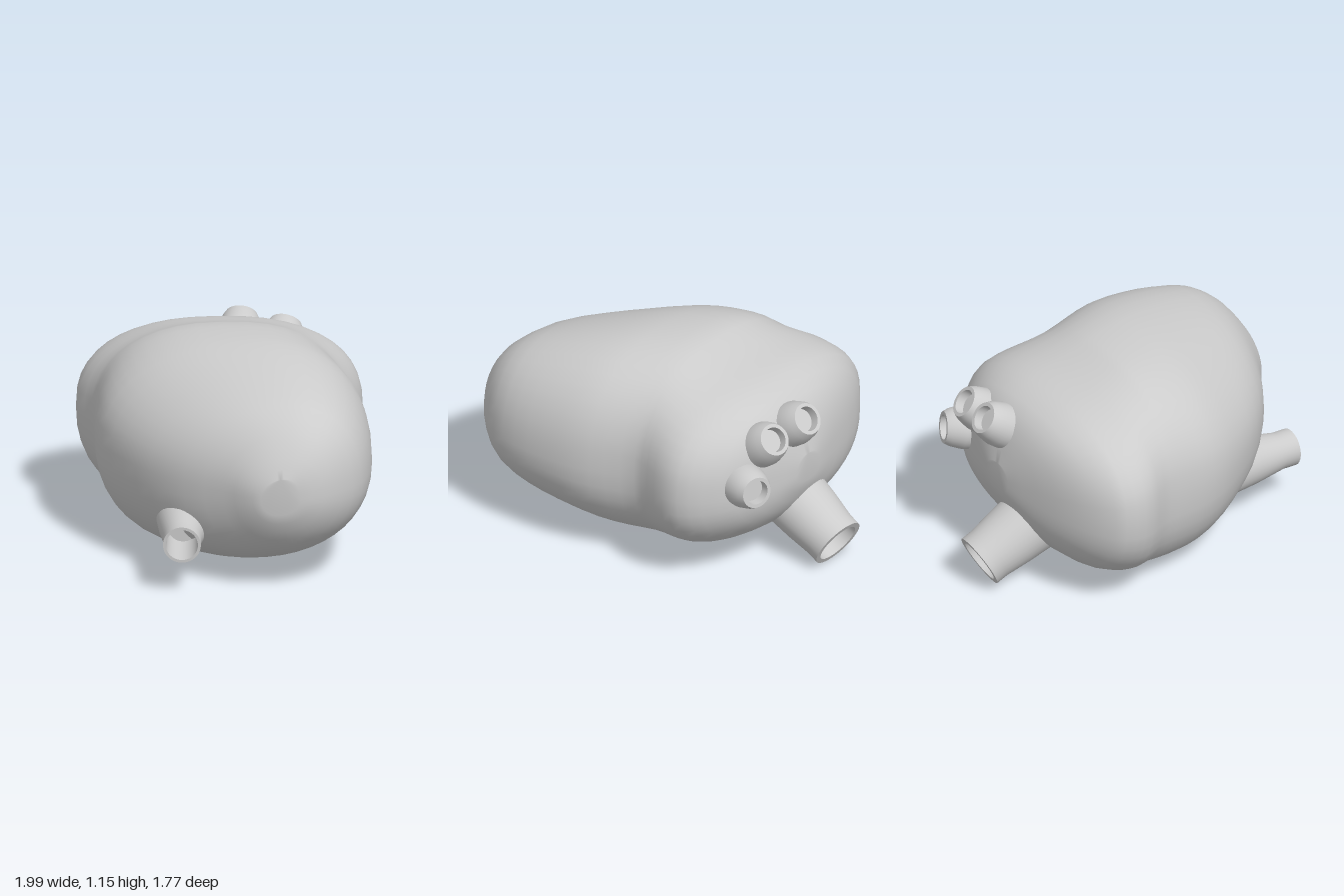
import * as THREE from 'three';
import { mergeVertices, toCreasedNormals } from 'three/addons/utils/BufferGeometryUtils.js';

const material = new THREE.MeshStandardMaterial({ color: 0xcccccc });

// Body axis U runs from the rear lobe to the blunt tip; V runs across it.
const U = new THREE.Vector3(0.774, 0, 0.633);
const V = new THREE.Vector3(-0.633, 0, 0.774);
const MID = 0.57; // height of the widest line

// Cross-sections along U: [u, vMin, vMax, bottom, top]
const SECTIONS = [
  [-0.83, -0.03, 0.17, 0.5, 0.66],
  [-0.79, -0.19, 0.38, 0.38, 0.81],
  [-0.72, -0.41, 0.63, 0.27, 0.94],
  [-0.6, -0.56, 0.83, 0.16, 1.015],
  [-0.49, -0.63, 0.875, 0.1, 1.045],
  [-0.38, -0.63, 0.865, 0.06, 1.07],
  [-0.26, -0.59, 0.8, 0.03, 1.11],
  [-0.16, -0.57, 0.78, 0.01, 1.145],
  [0.0, -0.62, 0.775, 0.0, 1.15],
  [0.16, -0.67, 0.74, 0.01, 1.14],
  [0.36, -0.685, 0.63, 0.04, 1.1],
  [0.55, -0.675, 0.49, 0.09, 1.05],
  [0.72, -0.63, 0.31, 0.16, 0.99],
  [0.85, -0.53, 0.1, 0.26, 0.89],
  [0.93, -0.43, -0.01, 0.37, 0.78],
  [0.975, -0.31, -0.1, 0.48, 0.68],
];

function bodyGeometry(segments = 44, steps = 2) {
  // Smooth the section values along the axis
  const edge = (k) => new THREE.CatmullRomCurve3(
    SECTIONS.map((s) => new THREE.Vector3(s[0], s[k], s[k + 1])), false, 'centripetal');
  const widths = edge(1), heights = edge(3);
  const rows = (SECTIONS.length - 1) * steps;
  const positions = [], index = [];

  for (let i = 0; i <= rows; i++) {
    const w = widths.getPoint(i / rows), h = heights.getPoint(i / rows);
    // The lobe is boxier; the top leans to one side toward the tip
    const front = THREE.MathUtils.smoothstep(w.x, -0.25, 0.5);
    const exponent = 0.82 + 0.1 * front;
    const power = (n) => Math.sign(n) * Math.abs(n) ** exponent;
    for (let j = 0; j < segments; j++) {
      const a = (j / segments) * Math.PI * 2;
      const c = power(Math.cos(a)), s = power(Math.sin(a));
      const v = (w.y + w.z) / 2 + s * (w.z - w.y) / 2;
      const y = MID + (c > 0
        ? c * (h.z - MID) * (1 - (0.03 + 0.14 * front) * s)
        : c * (MID - h.y) * (1 + 0.1 * s));
      const p = U.clone().multiplyScalar(w.x).addScaledVector(V, v);
      positions.push(p.x, Math.max(y, 0), p.z);
      if (i < rows) {
        const k = (j + 1) % segments, r = i * segments, n = r + segments;
        index.push(r + j, r + k, n + j, r + k, n + k, n + j);
      }
    }
  }
  // Close both ends
  const last = rows * segments;
  for (let j = 1; j < segments - 1; j++) {
    index.push(0, j + 1, j, last, last + j, last + j + 1);
  }
  const geometry = new THREE.BufferGeometry();
  geometry.setAttribute('position', new THREE.Float32BufferAttribute(positions, 3));
  geometry.setIndex(index);
  const merged = mergeVertices(geometry, 1e-4);
  merged.computeVertexNormals();
  return merged;
}

// Hollow tapered tube ending at `end`, pointing along `dir`
function tube(name, { end, dir, length, base, rim, bore, depth, bulge = 0 }) {
  const profile = [
    [base, -length],
    [(base + rim) / 2 + bulge, -length / 2],
    [rim + bulge, -length * 0.16],
    [rim, 0],
    [bore, 0],
    [bore * 0.95, -depth],
    [0, -depth],
  ].map(([x, y]) => new THREE.Vector2(x, y));
  const geometry = toCreasedNormals(new THREE.LatheGeometry(profile, 32), 0.7);
  const mesh = new THREE.Mesh(geometry, material);
  mesh.name = name;
  mesh.position.set(...end);
  mesh.quaternion.setFromUnitVectors(
    new THREE.Vector3(0, 1, 0), new THREE.Vector3(...dir).normalize());
  return mesh;
}

export function createModel() {
  const group = new THREE.Group();
  group.name = 'lobedBodyWithTubes';

  const body = new THREE.Mesh(bodyGeometry(), material);
  body.name = 'body';
  group.add(body);

  // Two large tubes
  group.add(
    tube('frontTube', {
      end: [0.485, 0.28, 0.805], dir: [0.76, -0.03, 0.65],
      length: 0.52, base: 0.16, rim: 0.1, bore: 0.085, depth: 0.25,
    }),
    tube('lowerRearTube', {
      end: [-0.84, 0.135, -0.525], dir: [-0.62, -0.46, -0.62],
      length: 0.42, base: 0.185, rim: 0.15, bore: 0.12, depth: 0.25,
    }),
  );

  // Three short tubes across the rear lobe
  const small = { length: 0.2, base: 0.12, rim: 0.085, bore: 0.066, depth: 0.05, bulge: 0.016 };
  [
    [[-0.68, 0.92, -0.55], [-0.56, 0.56, -0.57]],
    [[-0.5, 0.89, -0.705], [-0.44, 0.56, -0.6]],
    [[-0.4, 0.65, -0.845], [-0.49, 0.12, -0.87]],
  ].forEach(([end, dir], i) => group.add(tube(`rearTube${i + 1}`, { ...small, end, dir })));

  return group;
}
